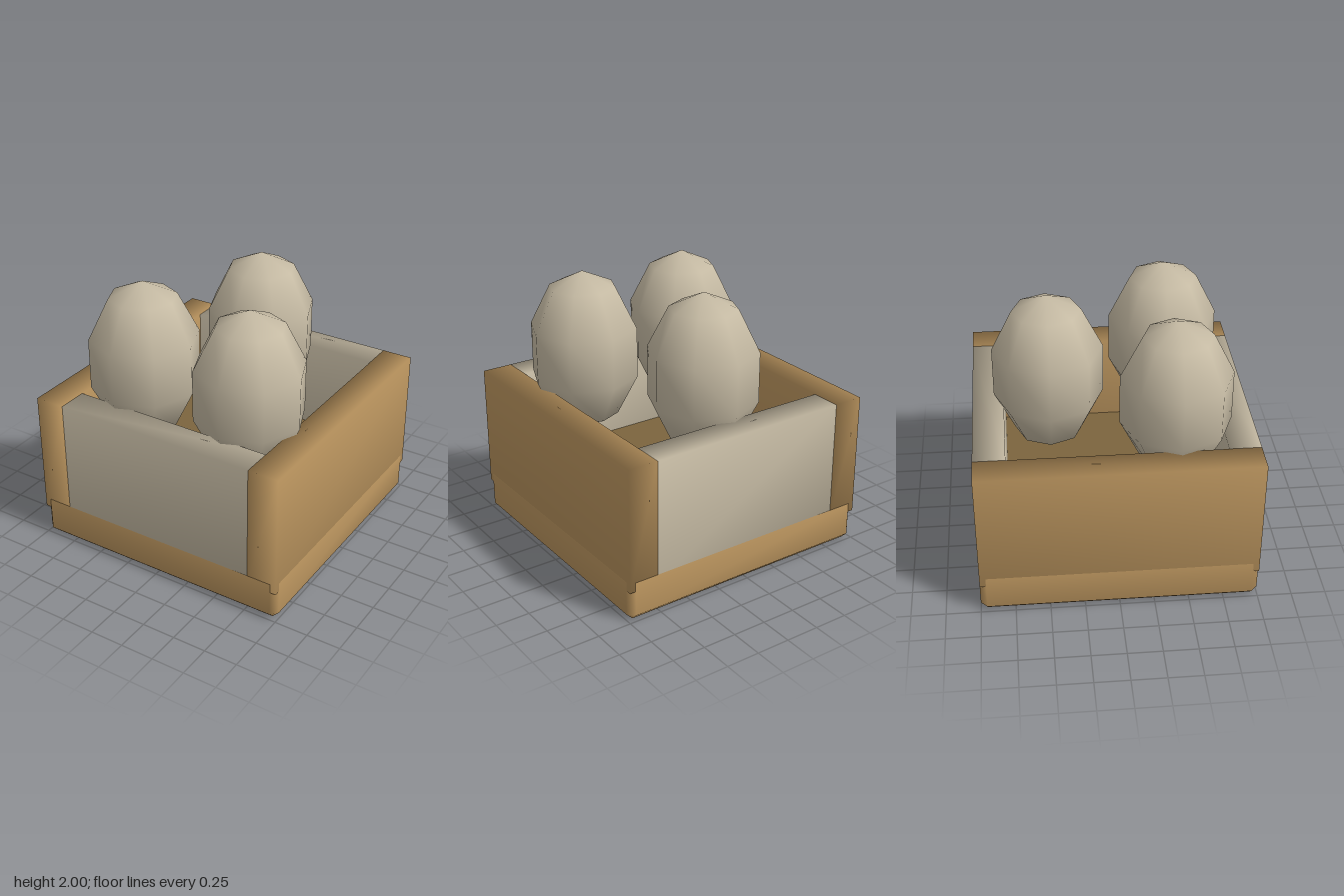
import * as THREE from 'three';
import { mergeVertices } from 'three/addons/utils/BufferGeometryUtils.js';
import { ConvexGeometry } from 'three/addons/geometries/ConvexGeometry.js';

const mat = (name, color) => {
  const m = new THREE.MeshStandardMaterial({ color });
  m.name = name;
  return m;
};

// Share corners so that normals blend softly across the edges
function soften(geo) {
  geo.deleteAttribute('normal');
  if (geo.getAttribute('uv')) geo.deleteAttribute('uv');
  const g = mergeVertices(geo, 1e-4);
  g.computeVertexNormals();
  return g;
}

// Box with all edges chamfered by c
function chamferedBox(w, h, d, c) {
  const pts = [];
  for (const x of [-1, 1]) for (const y of [-1, 1]) for (const z of [-1, 1]) {
    for (let full = 0; full < 3; full++) {
      pts.push(new THREE.Vector3(
        x * (w / 2 - (full === 0 ? 0 : c)),
        y * (h / 2 - (full === 1 ? 0 : c)),
        z * (d / 2 - (full === 2 ? 0 : c))));
    }
  }
  return soften(new ConvexGeometry(pts));
}

export function createModel() {
  const group = new THREE.Group();
  const tan = mat('tan wood', 0xba945e);
  const cream = mat('cream', 0xc6bba4);
  const brown = mat('dark brown', 0x7c653e);

  const add = (name, geo, material, x, y, z) => {
    const mesh = new THREE.Mesh(geo, material);
    mesh.name = name;
    mesh.position.set(x, y, z);
    group.add(mesh);
  };

  // Chamfered base slab, its top edge hidden by the walls
  add('base', chamferedBox(2, 0.35, 2, 0.048), tan, 0, 0.175, 0);

  // Raised floor inside the box
  add('floor', new THREE.BoxGeometry(1.54, 0.16, 1.54), brown, 0, 0.4, 0);

  // Wooden side walls and cream end panels
  const outer = 0.998, inner = 0.77, bottom = 0.235, top = 1.16;
  const t = outer - inner, h = top - bottom;
  const mid = (outer + inner) / 2, y = (top + bottom) / 2;
  const sideGeo = soften(new THREE.BoxGeometry(t, h, 2 * outer));
  const endGeo = soften(new THREE.BoxGeometry(2 * inner, h, t));
  for (const s of [1, -1]) {
    add(s > 0 ? 'leftWall' : 'rightWall', sideGeo, tan, s * mid, y, 0);
    add(s > 0 ? 'frontPanel' : 'backPanel', endGeo, cream, 0, y, s * mid);
  }

  // Three eggs
  const eggGeo = new THREE.SphereGeometry(0.42, 8, 5).scale(1, 1.448, 1);
  const spots = [[0.44, 0.44], [-0.44, 0.44], [0, -0.44]];
  spots.forEach(([x, z], i) => add('egg' + (i + 1), eggGeo, cream, x, 1.392, z));

  return group;
}
